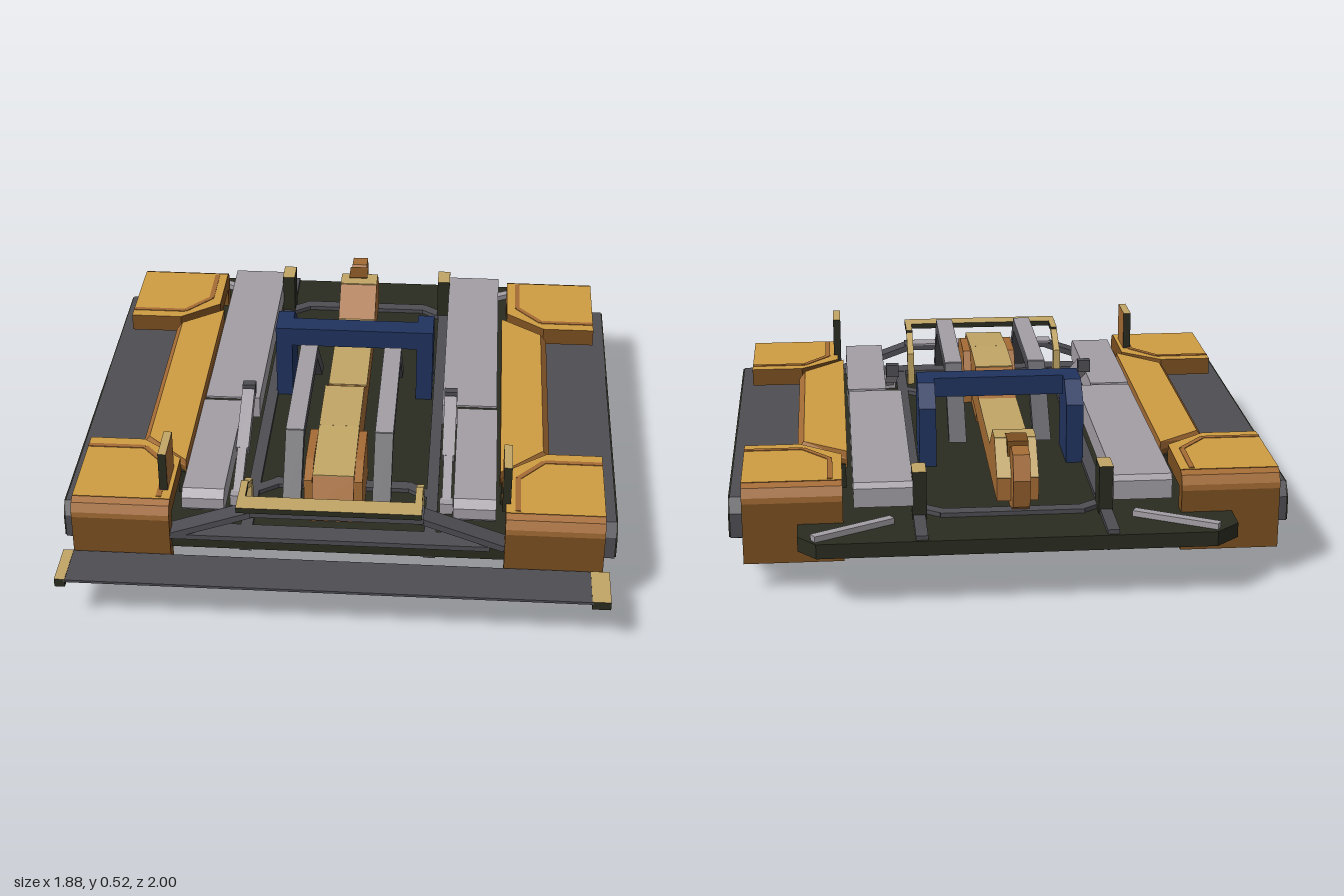
import * as THREE from 'three';

const mat = (name, color) => {
  const m = new THREE.MeshStandardMaterial({ color });
  m.name = name;
  return m;
};

export function createModel() {
  const root = new THREE.Group();
  root.name = 'trackedChassis';
  const ochre = mat('ochre', 0xd09d42), orange = mat('orange', 0xa56c35), brown = mat('brown', 0x7b4f20);
  const tan = mat('tan', 0xc2a666), light = mat('light grey', 0xa39ea5), grey = mat('grey', 0x4e4d53);
  const olive = mat('dark olive', 0x2a2c20), blue = mat('navy blue', 0x20335f);

  const add = (name, geo, m) => {
    const mesh = new THREE.Mesh(geo, m);
    mesh.name = name;
    root.add(mesh);
    return mesh;
  };
  // Box given by its limits on each axis
  const box = (name, m, x0, x1, y0, y1, z0, z1) => {
    const g = new THREE.BoxGeometry(Math.abs(x1 - x0), y1 - y0, z1 - z0);
    g.translate((x0 + x1) / 2, (y0 + y1) / 2, (z0 + z1) / 2);
    return add(name, g, m);
  };
  const extrude = (pts, depth) => new THREE.ExtrudeGeometry(
    new THREE.Shape(pts.map(p => new THREE.Vector2(...p))), { depth, bevelEnabled: false });
  // Outline in x, z raised from y0 to y1
  const plate = (name, m, pts, y0, y1) => {
    const g = extrude(pts.map(([x, z]) => [x, -z]), y1 - y0);
    g.rotateX(-Math.PI / 2).translate(0, y0, 0);
    return add(name, g, m);
  };
  // Outline in z, y stretched across x
  const profile = (name, m, pts, x0, x1) => {
    const a = Math.min(x0, x1), b = Math.max(x0, x1);
    const g = extrude(pts, b - a);
    g.rotateY(-Math.PI / 2).translate(b, 0, 0);
    return add(name, g, m);
  };
  // Square bar between two points
  const bar = (name, m, a, b, w, h) => {
    const p = new THREE.Vector3(...a), q = new THREE.Vector3(...b);
    const mesh = add(name, new THREE.BoxGeometry(w, h, p.distanceTo(q)), m);
    mesh.position.copy(p).add(q).multiplyScalar(0.5);
    mesh.lookAt(q);
    return mesh;
  };
  const capped = (top, side) => [side, side, top, side, side, side];

  // Hull floor with chamfered tail
  plate('hullFloor', olive, [[-0.71, 0.74], [-0.56, 0.8], [0.56, 0.8], [0.71, 0.74], [0.71, -0.93],
    [0.65, -1], [-0.65, -1], [-0.73, -0.93], [-0.73, -0.82], [-0.71, -0.8]], 0.185, 0.235);
  for (const z of [-0.78, 0.48]) {
    box('crossMember', grey, -0.24, 0.24, 0.18, 0.25, z - 0.022, z + 0.022);
    for (const s of [-1, 1]) {
      bar('crossMemberEnd', grey, [s * 0.23, 0.215, z], [s * 0.3, 0.215, z + 0.05], 0.04, 0.07);
    }
  }

  for (const s of [-1, 1]) {
    // Track: belt with side plates and a dark underside
    profile('trackBelt', grey, [[0.74, 0.165], [0.64, 0.124], [-0.64, 0.124], [-0.75, 0.165], [-0.75, 0.25],
      [-0.71, 0.294], [0.71, 0.294], [0.74, 0.25]], s * 0.705, s * 0.933);
    box('trackUnderside', olive, s * 0.706, s * 0.932, 0.119, 0.126, -0.64, 0.64);
    for (const x of [0.703, 0.934]) {
      profile('trackSidePlate', olive, [[0.735, 0.167], [0.638, 0.122], [-0.638, 0.122], [-0.745, 0.167],
        [-0.745, 0.248], [-0.708, 0.291], [0.708, 0.291], [0.735, 0.248]], s * (x - 0.004), s * (x + 0.004));
    }
    box('hullWall', olive, s * 0.545, s * 0.57, 0.23, 0.32, -0.5, 0.55);

    // Corner fenders with bent end aprons and inlaid stripes
    for (const e of [-1, 1]) {
      const z = v => e > 0 ? v : 0.008 - v;
      plate('fenderTop', [ochre, brown], [[0.56, 0.79], [0.89, 0.79], [0.89, 0.435], [0.7, 0.435], [0.56, 0.545]]
        .map(p => [s * p[0], z(p[1])]), 0.308, 0.372);
      profile('fenderBend', [brown, orange], [[0.83, 0.31], [0.83, 0.33], [0.815, 0.36], [0.785, 0.372], [0.75, 0.37],
        [0.75, 0.325], [0.775, 0.31]].map(p => [z(p[0]), p[1]]), s * 0.56, s * 0.89);
      profile('fenderApron', brown, [[0.83, 0.1], [0.83, 0.31], [0.775, 0.31], [0.775, 0.1]]
        .map(p => [z(p[0]), p[1]]), s * 0.56, s * 0.89);
      const line = [[0.6, 0.78], [0.6, 0.59], [0.69, 0.485], [0.89, 0.485]];
      for (let i = 0; i < 3; i++) {
        const [a, b] = [line[i], line[i + 1]];
        bar('fenderStripe', orange, [s * a[0], 0.372, z(a[1])], [s * b[0], 0.372, z(b[1])], 0.018, 0.005);
      }
    }
    // Side fender: flat top with a bevelled outer edge
    const outline = [[0.54, -0.5], [0.71, -0.39], [0.71, 0.41], [0.54, 0.55]].map(p => [s * p[0], p[1]]);
    plate('sideFenderSkirt', brown, outline, 0.308, 0.34);
    const top = plate('sideFenderTop', [ochre, orange], outline, 0.34, 0.368);
    const pos = top.geometry.attributes.position;
    for (let i = 0; i < pos.count; i++) {
      if (pos.getY(i) > 0.36 && Math.abs(pos.getX(i)) > 0.6) pos.setX(i, s * 0.688);
    }
    top.geometry.computeVertexNormals();

    // Long raised side decks in two lengths
    profile('rearDeck', light, [[-0.83, 0.29], [-0.83, 0.355], [-0.815, 0.372], [0.14, 0.372], [0.14, 0.29]],
      s * 0.33, s * 0.525);
    profile('frontDeck', light, [[0.16, 0.29], [0.16, 0.372], [0.72, 0.372], [0.75, 0.35], [0.75, 0.31], [0.73, 0.29]],
      s * 0.385, s * 0.528);
    box('deckJoint', olive, s * 0.385, s * 0.525, 0.29, 0.365, 0.14, 0.16);
    for (const z of [-0.6, 0.0]) box('deckSupport', olive, s * 0.36, s * 0.5, 0.23, 0.295, z - 0.03, z + 0.03);

    // Slanted rams beside the front decks
    const x = s * 0.36;
    bar('ramCylinder', light, [x, 0.33, 0.42], [x, 0.435, 0.2], 0.044, 0.04);
    bar('ramRod', light, [x, 0.255, 0.6], [x, 0.335, 0.42], 0.032, 0.03);
    box('ramHead', grey, x - 0.023, x + 0.023, 0.415, 0.46, 0.165, 0.195);
    box('ramFoot', light, x - 0.023, x + 0.023, 0.23, 0.275, 0.58, 0.62);

    // Lengthwise rails, tail struts and brackets
    box('rail', grey, s * 0.29, s * 0.33, 0.18, 0.25, -0.99, 0.8);
    bar('tailStrut', light, [s * 0.4, 0.24, -0.83], [s * 0.66, 0.24, -0.97], 0.03, 0.03);
    box('rearBracket', capped(tan, olive), s * 0.285, s * 0.332, 0.235, 0.4, -0.81, -0.72);
    const px = s > 0 ? 0.562 : -0.588;
    box('uprightPost', [orange, orange, tan, tan, olive, olive], px - 0.014, px + 0.014, 0.34, 0.515, 0.6, 0.74);

    // Raised lift bars, steep at the front
    const lx = s > 0 ? 0.143 : -0.16;
    profile('liftBar', grey, [[0.74, 0.29], [0.56, 0.515], [0, 0.515], [-0.23, 0.29], [-0.17, 0.29],
      [0.02, 0.473], [0.54, 0.473], [0.69, 0.29]], lx - 0.031, lx + 0.031);
    box('liftBarCap', light, lx - 0.031, lx + 0.031, 0.513, 0.519, 0, 0.56);

    // Legs of the blue frame
    profile('frameLeg', blue, [[-0.11, 0], [-0.11, 0.52], [-0.24, 0.52], [-0.32, 0.45], [-0.32, 0]],
      s * 0.26 - 0.035, s * 0.26 + 0.025);

    // Sloping ends of the front arch
    bar('archEnd', grey, [s * 0.28, 0.345, 0.79], [s * 0.56, 0.245, 0.79], 0.07, 0.022);
  }
  box('frameBeam', blue, -0.295, 0.285, 0.45, 0.52, -0.19, -0.11);

  // Front arch and sill
  box('archBeam', grey, -0.29, 0.29, 0.338, 0.358, 0.75, 0.83);
  box('archTop', light, -0.3, 0.26, 0.357, 0.364, 0.75, 0.81);
  box('frontSill', grey, -0.56, 0.51, 0.234, 0.252, 0.75, 0.825);

  // Central boom with tan top panels
  profile('boom', orange, [[0.74, 0.27], [0.74, 0.32], [0.69, 0.42], [0.42, 0.445], [0.16, 0.445], [0.02, 0.365],
    [-0.46, 0.365], [-0.58, 0.455], [-0.66, 0.455], [-0.76, 0.35], [-0.76, 0.27]], -0.09, 0.05);
  for (const [z0, y0, z1, y1] of [[0.69, 0.42, 0.42, 0.445], [0.42, 0.445, 0.16, 0.445],
    [0.02, 0.365, -0.46, 0.365], [-0.58, 0.455, -0.66, 0.455], [-0.66, 0.455, -0.76, 0.35]]) {
    bar('boomPanel', tan, [-0.02, y0, z0], [-0.02, y1, z1], 0.14, 0.008);
  }
  for (const c of [-1, 1]) {
    const x = -0.021 + c * 0.085;
    profile('boomCheek', orange, [[0.69, 0.235], [0.69, 0.4], [0.6, 0.43], [0.42, 0.43], [0.38, 0.36], [0.38, 0.235]],
      x - 0.014, x + 0.014);
    box('boomKeel', orange, -0.021 + c * 0.062 - 0.008, -0.021 + c * 0.062 + 0.008, 0.176, 0.28, 0.15, 0.69);
  }
  // Rear hook
  profile('boomHook', orange, [[-0.62, 0.3], [-0.62, 0.36], [-0.7, 0.43], [-0.74, 0.457], [-0.81, 0.45],
    [-0.845, 0.37], [-0.82, 0.27], [-0.76, 0.235], [-0.74, 0.178], [-0.69, 0.178], [-0.66, 0.235]], -0.055, 0.002);
  box('hookTip', brown, -0.06, 0.01, 0.33, 0.462, -0.71, -0.625);

  // Front guard rail
  const cap = capped(tan, olive);
  box('guardBar', cap, -0.325, 0.285, 0.405, 0.425, 0.83, 0.9);
  for (const x of [-0.312, 0.272]) {
    box('guardArm', cap, x - 0.012, x + 0.012, 0.405, 0.425, 0.74, 0.83);
    bar('guardBrace', tan, [x, 0.41, 0.75], [x, 0.35, 0.64], 0.024, 0.02);
    box('guardLeg', tan, x - 0.013, x + 0.013, 0.15, 0.36, 0.63, 0.67);
  }

  // Front blade with end caps
  box('blade', grey, -0.895, 0.855, 0.167, 0.176, 0.835, 1);
  box('bladeCapRight', cap, -0.925, -0.89, 0.148, 0.178, 0.835, 1);
  box('bladeCapLeft', cap, 0.85, 0.912, 0.148, 0.178, 0.835, 1);

  return root;
}
